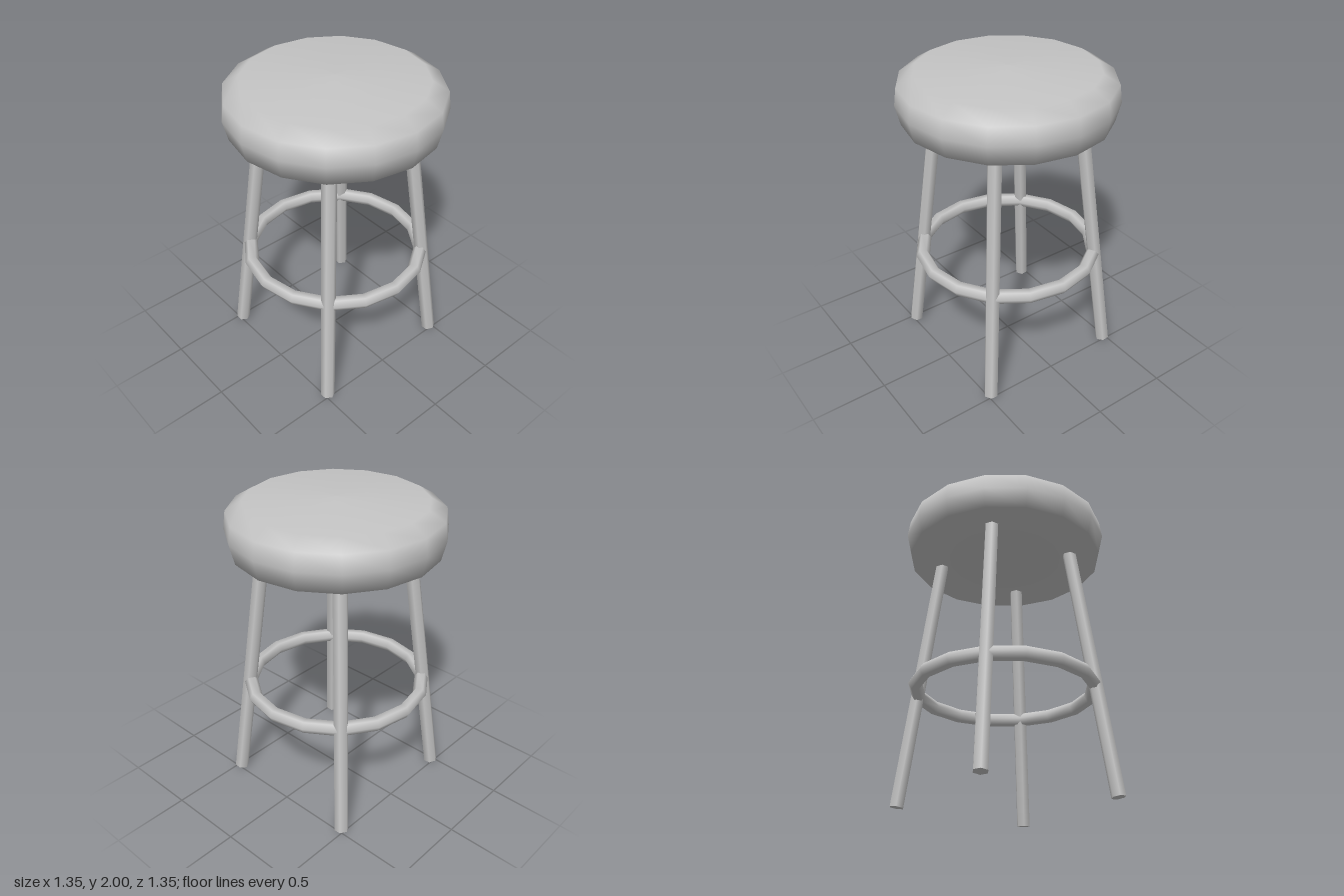
import * as THREE from 'three';

const LEG_RADIUS = 0.046;

// Cylinder running between two points
function rod(from, to, radius, sides, material) {
  const dir = new THREE.Vector3().subVectors(to, from);
  const mesh = new THREE.Mesh(new THREE.CylinderGeometry(radius, radius, dir.length(), sides), material);
  mesh.position.addVectors(from, to).multiplyScalar(0.5);
  mesh.quaternion.setFromUnitVectors(new THREE.Vector3(0, 1, 0), dir.normalize());
  return mesh;
}

export function createModel() {
  const model = new THREE.Group();
  model.name = 'stool';
  const grey = new THREE.MeshStandardMaterial({ color: 0xc4c4c4 });
  grey.name = 'light grey';

  // Padded round seat with a slightly domed top
  const profile = [
    [0, 1.685], [0.645, 1.685], [0.675, 1.81], [0.66, 1.92], [0.56, 1.98], [0, 2.0],
  ].map(([r, y]) => new THREE.Vector2(r, y));
  const seat = new THREE.Mesh(new THREE.LatheGeometry(profile, 16), grey);
  seat.name = 'seat';
  model.add(seat);

  // Four splayed legs, tucked into the seat
  for (const sx of [1, -1]) {
    for (const sz of [1, -1]) {
      const foot = new THREE.Vector3(sx * 0.478, 0.007, sz * 0.478);
      const top = new THREE.Vector3(sx * 0.31, 1.74, sz * 0.31);
      const leg = rod(foot, top, LEG_RADIUS, 6, grey);
      leg.name = (sz > 0 ? 'front' : 'back') + (sx > 0 ? 'Left' : 'Right') + 'Leg';
      model.add(leg);
    }
  }

  // Foot ring passing through the legs
  const ring = new THREE.Mesh(new THREE.TorusGeometry(0.57, 0.045, 6, 16), grey);
  ring.rotation.x = Math.PI / 2;
  ring.position.y = 0.73;
  ring.name = 'footRing';
  model.add(ring);

  return model;
}
